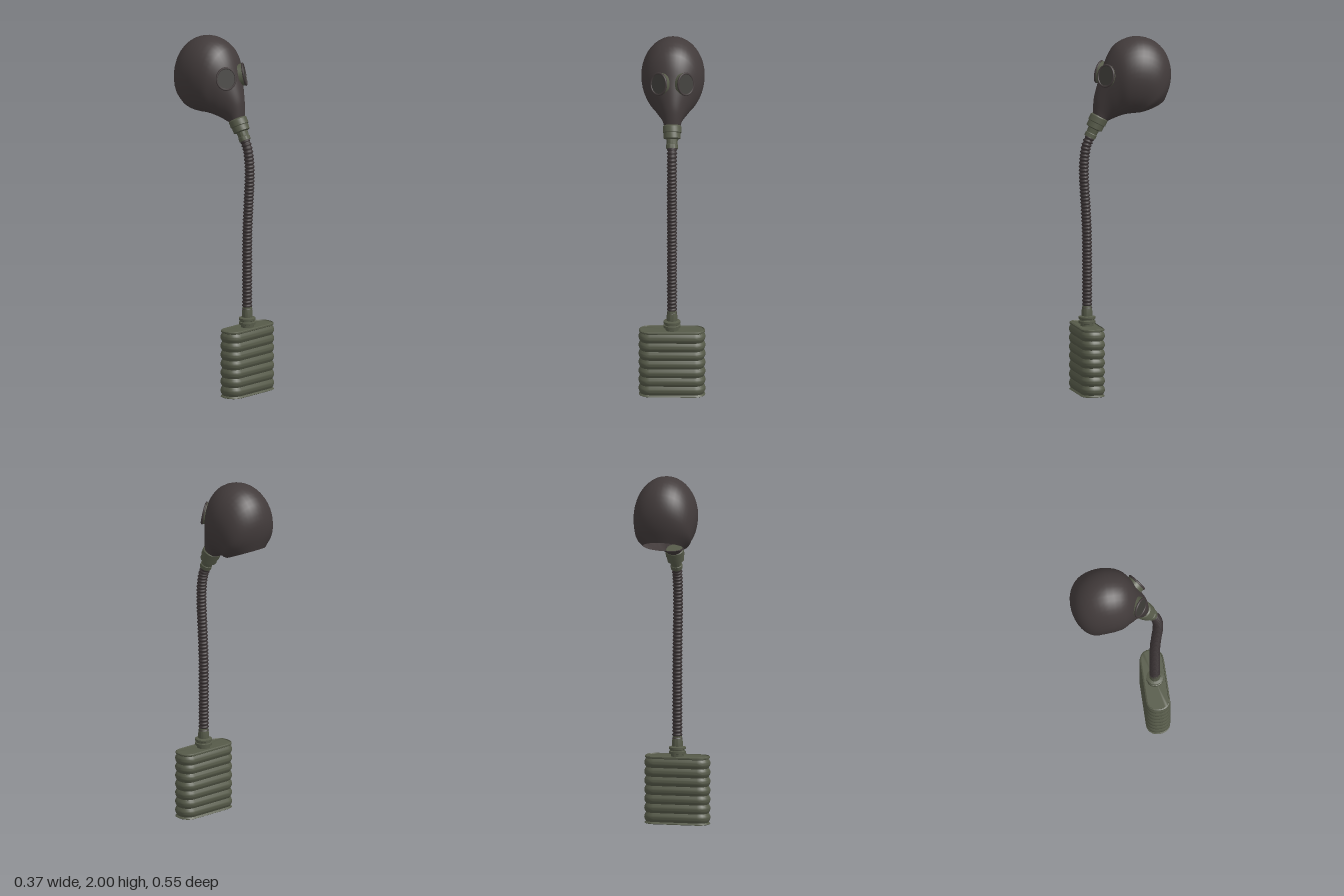
import * as THREE from 'three';
import { toCreasedNormals } from 'three/addons/utils/BufferGeometryUtils.js';

const mat = (name, color, side = THREE.FrontSide) => {
  const m = new THREE.MeshStandardMaterial({ color, side });
  m.name = name;
  return m;
};

// Skin a series of closed loops that all have the same number of points
function loft(rings) {
  const n = rings[0].length, index = [];
  for (let i = 0; i < rings.length - 1; i++) {
    for (let j = 0; j < n; j++) {
      const k = (j + 1) % n, a = i * n + j, b = i * n + k, c = a + n, d = b + n;
      index.push(a, b, c, b, d, c);
    }
  }
  const g = new THREE.BufferGeometry().setFromPoints(rings.flat());
  g.setIndex(index);
  g.computeVertexNormals();
  return g;
}

// Rounded rectangle loop at height y
function roundedLoop(hx, hz, r, y) {
  const pts = [];
  for (let k = 0; k < 4; k++) {
    const sx = k < 2 ? 1 : -1, sz = k === 0 || k === 3 ? 1 : -1;
    for (let i = 0; i <= 6; i++) {
      const a = (k + i / 6) * Math.PI / 2;
      pts.push(new THREE.Vector3(sx * (hx - r) + r * Math.sin(a), y, sz * (hz - r) + r * Math.cos(a)));
    }
  }
  return pts;
}

// Mask shell: slanted loops fanning from the neck opening, over the crown, to the snout
function maskGeometry() {
  // half width, upper y, upper z, lower y, lower z
  const stations = [
    [0.115, 1.65, -0.24, 1.575, -0.06],
    [0.150, 1.74, -0.268, 1.574, -0.055],
    [0.163, 1.83, -0.27, 1.573, -0.05],
    [0.172, 1.92, -0.235, 1.572, -0.045],
    [0.176, 1.98, -0.165, 1.571, -0.037],
    [0.174, 2.0, -0.07, 1.57, -0.025],
    [0.157, 1.965, 0.03, 1.566, 0.0],
    [0.126, 1.895, 0.082, 1.558, 0.025],
    [0.100, 1.81, 0.115, 1.55, 0.045],
    [0.078, 1.74, 0.14, 1.543, 0.06],
    [0.060, 1.67, 0.16, 1.536, 0.075],
    [0.050, 1.62, 0.166, 1.53, 0.09],
    [0.045, 1.57, 0.168, 1.525, 0.10],
  ];
  const upper = new THREE.CatmullRomCurve3(stations.map(s => new THREE.Vector3(s[0], s[1], s[2])));
  const lower = new THREE.CatmullRomCurve3(stations.map(s => new THREE.Vector3(0, s[3], s[4])));
  const rings = [], steps = 36, n = 40;
  for (let i = 0; i <= steps; i++) {
    const t = upper.getPoint(i / steps), b = lower.getPoint(i / steps), ring = [];
    for (let j = 0; j < n; j++) {
      const a = j / n * Math.PI * 2, c = Math.cos(a), s = -Math.sin(a);
      // jaw side is a little fuller than the crown side
      const x = t.x * Math.sign(s) * Math.pow(Math.abs(s), c < 0 ? 0.8 : 1);
      ring.push(new THREE.Vector3(x, b.y + (t.y - b.y) * (1 + c) / 2, b.z + (t.z - b.z) * (1 + c) / 2));
    }
    rings.push(ring);
  }
  return loft(rings);
}

// Corrugated tube along a curve
function hoseGeometry(curve, radius, depth, ribs) {
  const seg = ribs * 4, sides = 14;
  const g = new THREE.TubeGeometry(curve, seg, radius, sides, false);
  const p = g.attributes.position, v = new THREE.Vector3();
  for (let i = 0; i <= seg; i++) {
    const c = curve.getPointAt(i / seg);
    const k = 1 + depth / radius * Math.cos(i * Math.PI / 2);
    for (let j = 0; j <= sides; j++) {
      const id = i * (sides + 1) + j;
      v.fromBufferAttribute(p, id).sub(c).multiplyScalar(k).add(c);
      p.setXYZ(id, v.x, v.y, v.z);
    }
  }
  g.computeVertexNormals();
  return g;
}

export function createModel() {
  const model = new THREE.Group();
  model.name = 'gasMask';
  const rubber = mat('mask rubber', 0x423b3b, THREE.DoubleSide);
  const olive = mat('olive metal', 0x565a49);
  const hoseMat = mat('hose rubber', 0x3a3334);
  const glass = mat('dark lens', 0x3b3a36);
  const dark = mat('dark hole', 0x33352c);

  const add = (name, geo, material, parent = model) => {
    const m = new THREE.Mesh(geo, material);
    m.name = name;
    parent.add(m);
    return m;
  };
  const turned = (pts) => toCreasedNormals(
    new THREE.LatheGeometry(pts.map(p => new THREE.Vector2(p[0], p[1])), 28), 0.6);

  add('mask', maskGeometry(), rubber);

  // Eyepieces: short barrel, rubber rim and flat lens
  for (const side of [1, -1]) {
    const eye = new THREE.Group();
    eye.name = side > 0 ? 'leftEyepiece' : 'rightEyepiece';
    eye.position.set(side * 0.072, 1.795, 0.109);
    eye.lookAt(eye.position.clone().add(new THREE.Vector3(side * 0.62, 0.2, 0.78)));
    eye.scale.set(0.88, 1, 1);
    model.add(eye);
    const barrel = add('eyeBarrel', new THREE.CylinderGeometry(0.062, 0.062, 0.03, 32), olive, eye);
    barrel.rotation.x = Math.PI / 2;
    barrel.position.z = -0.008;
    add('eyeRim', new THREE.TorusGeometry(0.06, 0.0065, 8, 36), rubber, eye).position.z = 0.006;
    add('lens', new THREE.CircleGeometry(0.058, 32), glass, eye).position.z = 0.0085;
  }

  // Snout coupling, its axis tilted down and forward
  const coupling = add('snoutCoupling', turned([
    [0, 0.045], [0.046, 0.045], [0.052, 0.038], [0.052, 0.005], [0.047, 0.002],
    [0.047, -0.028], [0.032, -0.034], [0.03, -0.06], [0.033, -0.064], [0.033, -0.085], [0, -0.085],
  ].reverse()), olive);
  coupling.position.set(0, 1.518, 0.15);
  coupling.rotation.x = -0.47;

  // Hose
  const path = new THREE.CatmullRomCurve3([
    [1.455, 0.18], [1.4, 0.205], [1.32, 0.219], [1.22, 0.221], [1.08, 0.213],
    [0.92, 0.205], [0.72, 0.203], [0.48, 0.203],
  ].map(([y, z]) => new THREE.Vector3(0, y, z)));
  add('hose', hoseGeometry(path, 0.026, 0.0035, 48), hoseMat);

  // Filter canister with rolled ribs
  const ribs = 7, sub = 8, base = 0.012, top = 0.368;
  const loop = (d, y) => roundedLoop(0.186 - d, 0.069 - d, 0.062 - d, y);
  const rings = [roundedLoop(0.001, 0.001, 0.001, 0), loop(0.006, 0), loop(0.001, 0.003)];
  for (let i = 0; i <= ribs * sub; i++) {
    const t = i / (ribs * sub);
    rings.push(loop(0.01 * (1 - Math.abs(Math.sin(t * ribs * Math.PI))), base + (top - base) * t));
  }
  rings.push(loop(0.003, 0.372), loop(0.003, 0.38), loop(0.009, 0.384), loop(0.011, 0.379),
    roundedLoop(0.001, 0.001, 0.001, 0.379));
  const canister = add('filterCanister', toCreasedNormals(loft(rings), 0.6), olive);
  canister.position.z = 0.204;

  // Outlet neck on top of the canister
  add('canisterNeck', turned([
    [0, 0.375], [0.036, 0.375], [0.036, 0.392], [0.047, 0.395], [0.047, 0.408], [0.041, 0.411],
    [0.041, 0.417], [0.047, 0.42], [0.047, 0.431], [0.03, 0.436], [0.03, 0.462], [0.025, 0.494], [0, 0.494],
  ]), olive).position.z = 0.204;

  // Air inlet underneath
  const inlet = add('airInlet', new THREE.CylinderGeometry(0.03, 0.03, 0.003, 24), dark);
  inlet.position.set(0, 0.0005, 0.204);

  return model;
}
